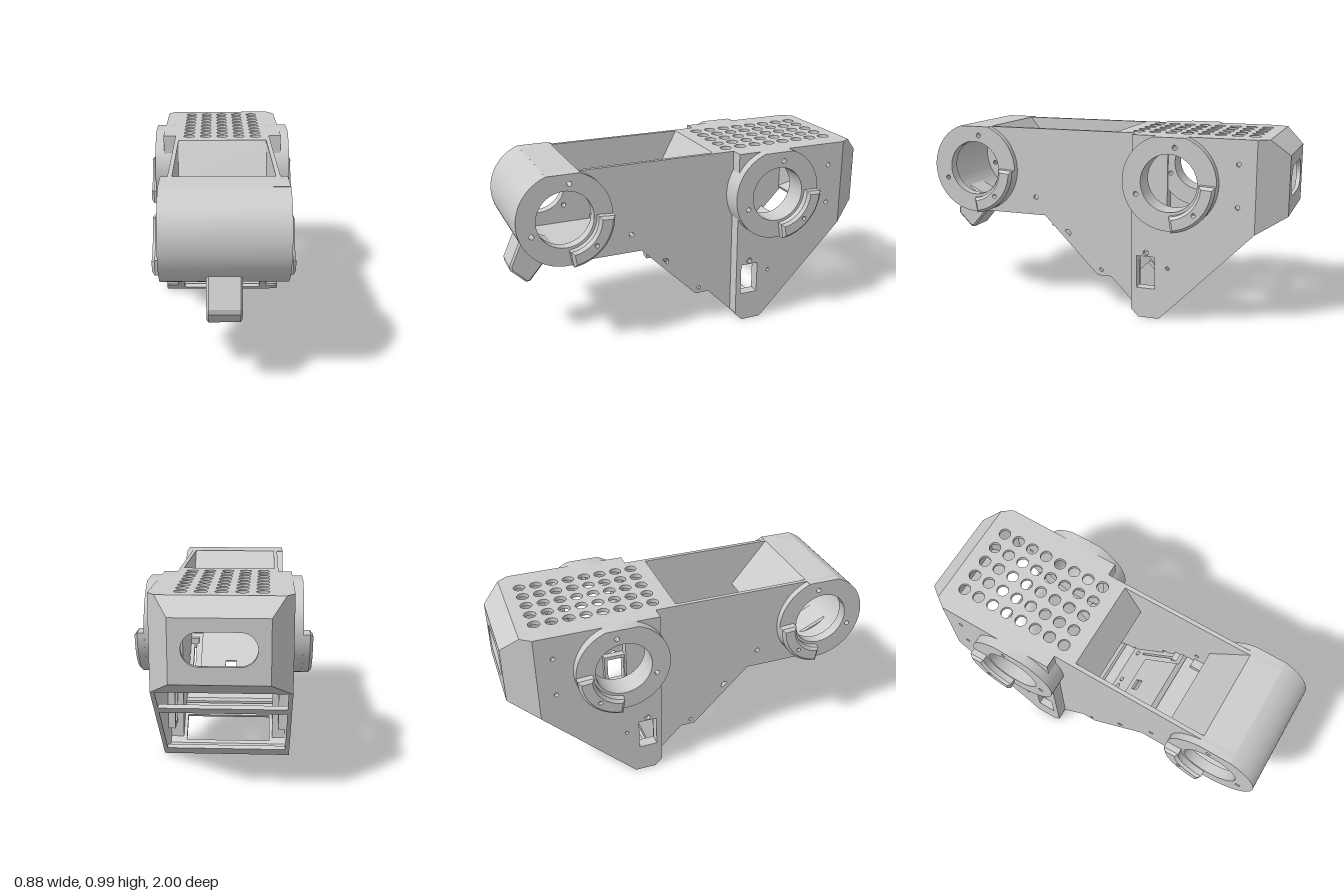
import * as THREE from 'three';
import { toCreasedNormals } from 'three/addons/utils/BufferGeometryUtils.js';

const T = 0.022;                       // shell thickness
const FRONT = [0.75, 0.75], REAR = [-0.413, 0.75], R = 0.25, BORE = 0.15, TOP = 0.985;
const CLIP = Math.asin((TOP - 0.75) / R);   // angle where the round ends meet the flat top
const material = new THREE.MeshStandardMaterial({ color: 0xcccccc });

// Outline helpers
const circle = (x, y, r) => new THREE.Path().absarc(x, y, r, 0, Math.PI * 2);
const poly = (pts) => new THREE.Shape(pts.map(([x, y]) => new THREE.Vector2(x, y)));
const rect = (x, y, w, h) => poly([[x - w, y - h], [x + w, y - h], [x + w, y + h], [x - w, y + h]]);
function stadium(x, y, half, r) {
  const p = new THREE.Path();
  p.absarc(x + half - r, y, r, -Math.PI / 2, Math.PI / 2);
  p.absarc(x - half + r, y, r, Math.PI / 2, Math.PI * 1.5);
  return p.closePath(), p;
}

function extrude(shape, depth, holes = [], bevel = 0) {
  shape.holes.push(...holes);
  return new THREE.ExtrudeGeometry(shape, {
    depth: depth - 2 * bevel, curveSegments: 32, bevelEnabled: bevel > 0,
    bevelSize: bevel, bevelThickness: bevel, bevelSegments: 1,
  }).translate(0, 0, bevel);
}

// Outline drawn in (z, y), extruded across x from x0 to x1
const across = (shape, x0, x1, holes, bevel) =>
  extrude(shape, x1 - x0, holes, bevel).rotateY(-Math.PI / 2).translate(x1, 0, 0);

function mirrored(geo) {
  const g = geo.index ? geo.toNonIndexed() : geo.clone();
  const p = g.attributes.position;
  g.scale(-1, 1, 1);
  const a = new THREE.Vector3(), b = new THREE.Vector3();
  for (let i = 0; i < p.count; i += 3) {
    a.fromBufferAttribute(p, i + 1);
    b.fromBufferAttribute(p, i + 2);
    p.setXYZ(i + 1, b.x, b.y, b.z);
    p.setXYZ(i + 2, a.x, a.y, a.z);
  }
  return g;
}

export function createModel() {
  const model = new THREE.Group();
  model.name = 'armHousing';

  const add = (name, geo) => {
    const mesh = new THREE.Mesh(toCreasedNormals(geo, 0.5), material);
    mesh.name = name;
    model.add(mesh);
  };
  const pair = (name, geo) => {
    add(name + 'Left', geo);
    add(name + 'Right', mirrored(geo));
  };
  const box = (x0, x1, y0, y1, z0, z1) => new THREE.BoxGeometry(x1 - x0, y1 - y0, z1 - z0)
    .translate((x0 + x1) / 2, (y0 + y1) / 2, (z0 + z1) / 2);

  // Plate spanning the width, running from a to b in (z, y); widths are [distance, halfWidth]
  const panel = (name, a, b, widths, holes = [], t = T) => {
    const len = Math.hypot(b[0] - a[0], b[1] - a[1]);
    const sz = (b[0] - a[0]) / len, sy = (b[1] - a[1]) / len;
    const w = typeof widths === 'number' ? [[0, widths], [len, widths]] : widths;
    const outline = [...w.map(([s, x]) => [x, s]), ...w.map(([s, x]) => [-x, s]).reverse()];
    const m = new THREE.Matrix4().makeBasis(
      new THREE.Vector3(1, 0, 0), new THREE.Vector3(0, sy, sz), new THREE.Vector3(0, -sz, sy));
    m.setPosition(0, a[1], a[0]);
    add(name, extrude(poly(outline), t, holes).applyMatrix4(m));
  };

  // Narrow middle side walls, rounded at the front
  const mid = new THREE.Shape();
  mid.moveTo(-0.2, 0.049);
  mid.lineTo(-0.06, 0.185);
  mid.lineTo(0.02, 0.185);
  mid.lineTo(0.335, 0.5);
  mid.absarc(...FRONT, R, -Math.PI / 2, CLIP);
  mid.lineTo(-0.2, TOP);
  pair('middleWall', across(mid, 0.248, 0.27, [
    circle(...FRONT, BORE), circle(0.39, 0.6, 0.013), circle(0.2, 0.41, 0.02), circle(0, 0.215, 0.012),
    ...screws(FRONT)]));

  // Wider rear side walls with a window
  const rear = [[-0.2, TOP], [-0.85, TOP], [-0.85, 0.505], [-0.355, 0], [-0.24, 0], [-0.2, 0.049]];
  pair('rearWall', across(poly(rear), 0.318, 0.34, [
    circle(...REAR, BORE), rect(-0.28, 0.252, 0.05, 0.088), circle(-0.28, 0.36, 0.015),
    circle(-0.4, 0.285, 0.01), circle(-0.76, 0.86, 0.012), circle(-0.76, 0.64, 0.012), ...screws(REAR)]));
  pair('windowFrame', across(rect(-0.28, 0.252, 0.07, 0.11), 0.28, 0.318, [rect(-0.28, 0.252, 0.05, 0.088)]));
  pair('stepWall', box(0.248, 0.34, 0.049, TOP, -0.222, -0.2));

  // Tapered corners at the back
  const L = Math.hypot(0.105, 0.15), ux = -0.105 / L, uz = -0.15 / L;
  const corner = extrude(poly([[0, 0.505], [L, 0.59], [L, 0.9], [L * 0.367, TOP], [0, TOP]]), T).translate(0, 0, -T);
  corner.applyMatrix4(new THREE.Matrix4().makeBasis(new THREE.Vector3(ux, 0, uz),
    new THREE.Vector3(0, 1, 0), new THREE.Vector3(-uz, 0, ux)).setPosition(0.34, 0, -0.85));
  pair('rearCorner', corner);

  // Perforated top cover
  const vents = [];
  for (let i = -2; i <= 2; i++)
    for (let j = 0; j < 8; j++) vents.push(circle(i * 0.096, 0.095 + j * 0.0885, 0.031));
  panel('ventedTop', [-0.905, TOP], [-0.085, TOP],
    [[0, 0.3015], [0.055, 0.34], [0.705, 0.34], [0.705, 0.27], [0.82, 0.27]], vents);
  panel('rearHatch', [-0.085, TOP], [0.02, 0.79], 0.25);

  // Front drum: curved skin, flat roof and sloping hatch
  const skin = new THREE.Shape();
  skin.absarc(...FRONT, R, -Math.PI / 2, CLIP, false);
  skin.absarc(...FRONT, R - T, CLIP, -Math.PI / 2, true);
  add('drumSkin', across(skin, -0.305, 0.305));
  panel('drumRoof', [0.66, TOP], [0.836, TOP], 0.305);
  panel('frontHatch', [0.455, 0.735], [0.66, TOP], 0.25);

  // Floor and front slope with recessed middle
  panel('drumFloor', [0.75, 0.5], [0.335, 0.5], 0.27);
  const slopeHoles = [rect(0, 0.14, 0.165, 0.13)];
  for (const x of [-0.22, -0.025, 0.025, 0.22]) slopeHoles.push(circle(x, 0.396, 0.015));
  for (const s of [-1, 1]) slopeHoles.push(rect(s * 0.22, 0.19, 0.006, 0.16));
  panel('frontSlope', [0.335, 0.5], [0.02, 0.185], 0.27, slopeHoles, 0.03);
  panel('slopeRecess', [0.317, 0.518], [0.117, 0.318], 0.18, [rect(0, 0.222, 0.032, 0.025)], 0.015);
  panel('slopeFoot', [0.02, 0.185], [-0.06, 0.185], 0.27);
  const low = Math.hypot(0.18, 0.185), notch = low * 0.14 / 0.18;
  panel('lowerSlope', [-0.06, 0.185], [-0.24, 0],
    [[0, 0.27], [notch, 0.27], [notch, 0.34], [low, 0.34]], [rect(0, 0.153, 0.23, 0.077)]);
  panel('bottomBar', [-0.24, 0], [-0.355, 0], 0.34);
  panel('bottomLip', [-0.355, 0], [-0.404, 0.05], 0.34);
  panel('crossBar', [-0.7, 0.352], [-0.735, 0.388], 0.33);
  pair('floorRib', box(0.2, 0.25, 0.5, 0.55, 0.38, 0.46));
  pair('slopeRib', box(0.2, 0.25, 0.44, 0.5, 0.26, 0.3));

  // Closed back with a rounded slot
  panel('rearUnderside', [-0.85, 0.505], [-1, 0.59], [[0, 0.34], [0.1724, 0.235]]);
  panel('rearFace', [-1, 0.59], [-1, 0.9], 0.235, [stadium(0, 0.165, 0.175, 0.08)]);
  panel('rearChamfer', [-1, 0.9], [-0.905, TOP], [[0, 0.235], [0.1275, 0.3015]]);

  // Bearing rings, each with a raised stop on its lower back quarter
  function screws([z, y]) {
    return [[-0.03, 0.185], [0.175, -0.065], [-0.14, -0.125]].map(([dz, dy]) => circle(z + dz, y + dy, 0.013));
  }
  for (const [name, c, x0, x1] of [['front', FRONT, 0.248, 0.305], ['rear', REAR, 0.26, 0.39]]) {
    const ring = new THREE.Shape();
    ring.absarc(...c, R, Math.PI - CLIP, Math.PI * 2 + CLIP, false);
    pair(name + 'BearingRing', across(ring, x0, x1, [circle(...c, BORE), ...screws(c)]));
    const stop = new THREE.Shape();
    stop.absarc(...c, R - 0.015, Math.PI * 1.02, Math.PI * 1.45, false);
    stop.absarc(...c, 0.18, Math.PI * 1.45, Math.PI * 1.02, true);
    pair(name + 'Stop', across(stop, x1 - 0.016, x1 + 0.048, [circle(c[0] - 0.145, c[1] - 0.145, 0.012)], 0.015));
  }

  // Spur under the drum
  add('spur', across(poly([[0.925, 0.59], [0.992, 0.445], [0.99, 0.425], [0.918, 0.354], [0.905, 0.354],
    [0.765, 0.515]]), -0.085, 0.085, [], 0.01));

  return model;
}
